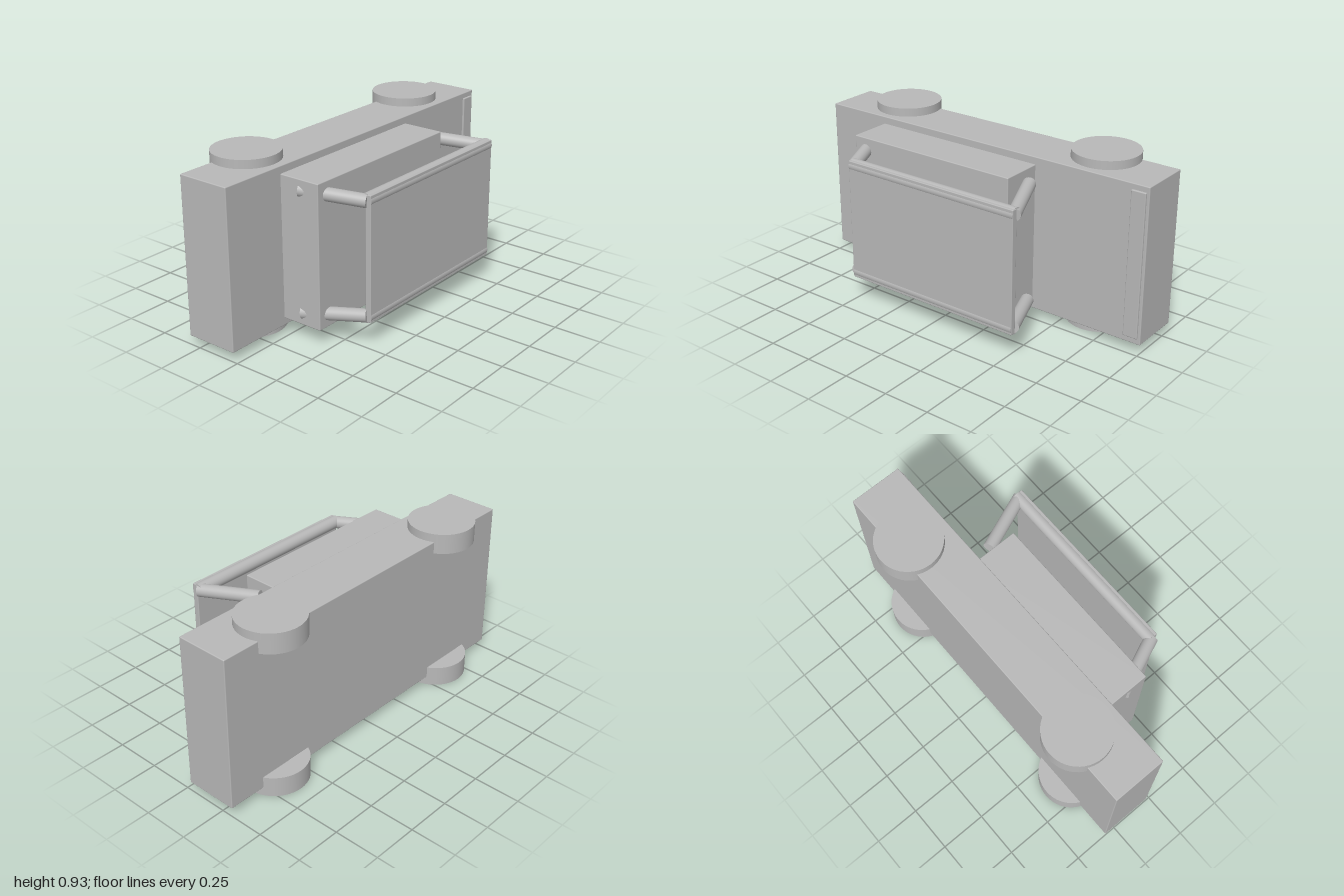
import * as THREE from 'three';
import { RoundedBoxGeometry } from 'three/addons/geometries/RoundedBoxGeometry.js';

export function createModel() {
  const model = new THREE.Group();
  const grey = new THREE.MeshStandardMaterial({ color: 0xb8b8b8 });
  grey.name = 'plain grey';

  function add(name, geometry) {
    const mesh = new THREE.Mesh(geometry, grey);
    mesh.name = name;
    model.add(mesh);
    return mesh;
  }

  // Box with narrow bevelled edges, given by its two extreme corners
  function block(name, [x0, y0, z0], [x1, y1, z1], bevel = 0.005) {
    const mesh = add(name, new RoundedBoxGeometry(x1 - x0, y1 - y0, z1 - z0, 2, bevel));
    mesh.position.set((x0 + x1) / 2, (y0 + y1) / 2, (z0 + z1) / 2);
  }

  // Round bar between two points
  function bar(name, from, to, radius) {
    const a = new THREE.Vector3(...from);
    const b = new THREE.Vector3(...to);
    const dir = b.clone().sub(a);
    const mesh = add(name, new THREE.CylinderGeometry(radius, radius, dir.length(), 32));
    mesh.position.copy(a).add(b).multiplyScalar(0.5);
    mesh.quaternion.setFromUnitVectors(new THREE.Vector3(0, 1, 0), dir.normalize());
  }

  // The vehicle lies on its side: its roof faces +z, its wheels face -z
  block('body', [-1, 0.047, -0.315], [1, 0.885, -0.024]);
  block('cabin', [-0.635, 0.087, -0.06], [0.358, 0.845, 0.205]);
  block('endStrip', [0.905, 0.08, -0.05], [0.985, 0.855, -0.014]);
  block('roof', [-0.497, 0.137, 0.375], [0.535, 0.795, 0.407], 0.004);

  const midY = 0.465;
  for (const side of [1, -1]) {
    const label = side > 0 ? 'upper' : 'lower';

    // Rail along the roof edge
    const railY = midY + side * 0.3;
    bar(label + 'RoofRail', [-0.495, railY, 0.376], [0.533, railY, 0.376], 0.034);

    // Slanted roof posts
    for (const [end, x] of [['Left', 0.393], ['Right', -0.617]]) {
      bar(label + end + 'Post', [x, midY + side * 0.32, 0.075],
        [x + 0.128, midY + side * 0.296, 0.38], 0.034);
    }

    // Wheels
    for (const [end, x] of [['Left', 0.633], ['Right', -0.638]]) {
      const wheel = add(label + end + 'Wheel', new THREE.CylinderGeometry(0.176, 0.176, 0.11, 48));
      wheel.position.set(x, midY + side * 0.41, -0.238);
    }
  }
  return model;
}
